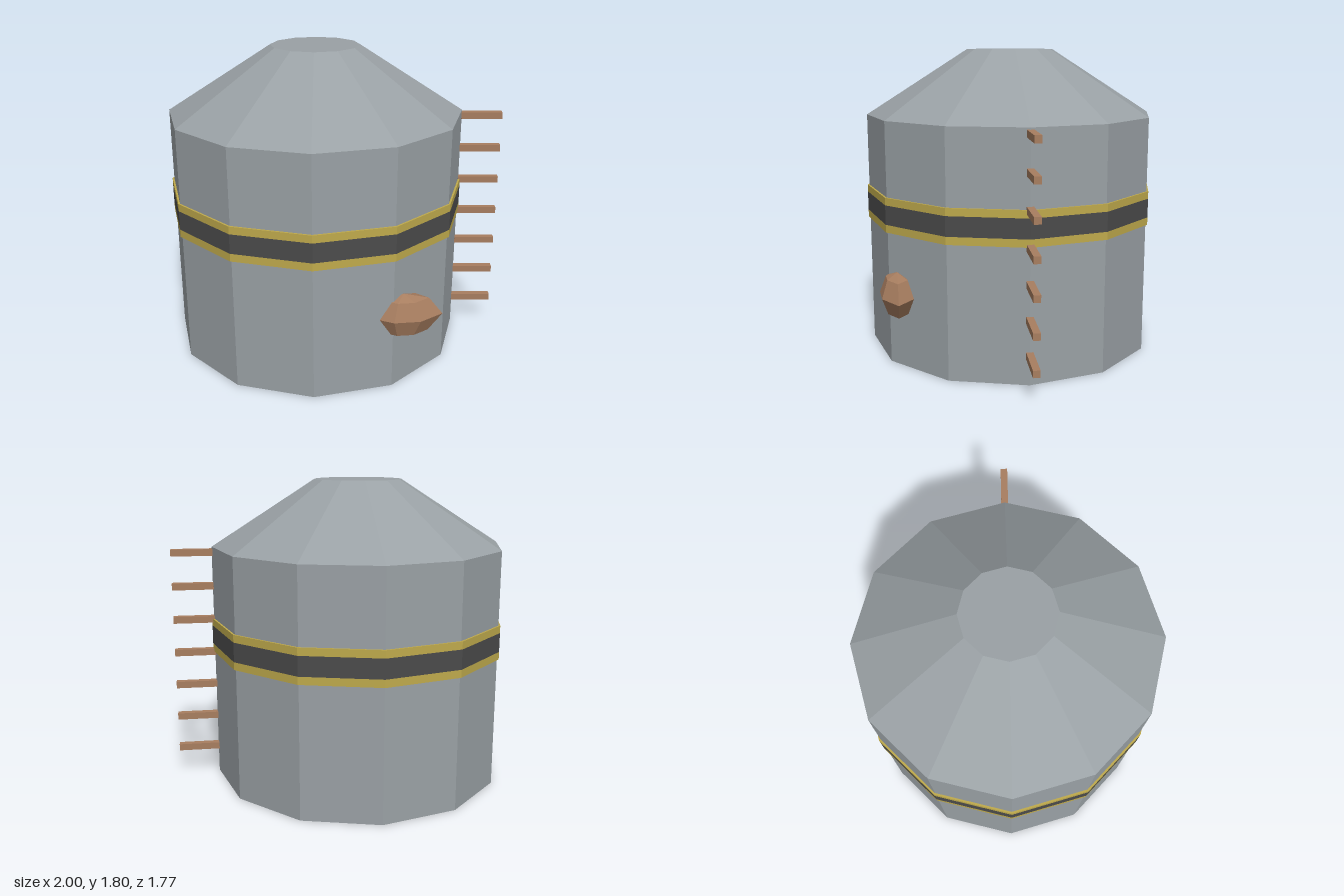
import * as THREE from 'three';

const mat = (name, color) => {
  const m = new THREE.MeshStandardMaterial({ color, flatShading: true });
  m.name = name;
  return m;
};

export function createModel() {
  const steel = mat('steel grey', 0x9aa1a5);
  const yellow = mat('stripe yellow', 0xbfaa4c);
  const dark = mat('band charcoal', 0x4b4b4b);
  const brown = mat('rust brown', 0xa87e60);

  const model = new THREE.Group();
  model.name = 'storageTank';
  const cx = -0.115, radius = 0.875, sides = 12;

  const add = (name, geometry, material, x, y, z) => {
    const mesh = new THREE.Mesh(geometry, material);
    mesh.name = name;
    mesh.position.set(x, y, z);
    model.add(mesh);
    return mesh;
  };
  // Twelve-sided drum standing between two heights
  const drum = (name, rTop, rBottom, y0, y1, material) =>
    add(name, new THREE.CylinderGeometry(rTop, rBottom, y1 - y0, sides), material, cx, (y0 + y1) / 2, 0);

  // Tank wall and tapered roof
  drum('tankBody', radius, radius, 0, 1.415, steel);
  drum('tankRoof', 0.262, radius, 1.415, 1.805, steel);

  // Painted band with a stripe on each edge
  drum('lowerStripe', 0.886, 0.886, 0.78, 0.825, yellow);
  drum('darkBand', 0.886, 0.886, 0.825, 0.938, dark);
  drum('upperStripe', 0.886, 0.886, 0.938, 0.982, yellow);

  // Ladder rungs up the left side
  for (let i = 0; i < 7; i++) {
    add('rung' + (i + 1), new THREE.BoxGeometry(0.245, 0.04, 0.04), brown, 0.8775, 0.17 + i * 0.2022, 0);
  }

  // Faceted knob: one outline scaled into three rings, closed by two poles
  const outline = [[-0.195, 0.05], [-0.075, 0.102], [0.07, 0.085], [0.2, -0.01], [0.09, -0.092], [-0.07, -0.07]];
  const rings = [[0, -0.13], [0.64, -0.1], [1, 0], [0.64, 0.1], [0, 0.128]]
    .map(([s, y]) => outline.map(([x, z]) => [x * s - 0.02 * (1 - s), y, z * s]));
  const pos = [];
  for (let r = 0; r < rings.length - 1; r++) {
    for (let i = 0; i < outline.length; i++) {
      const j = (i + 1) % outline.length;
      const a = rings[r][i], b = rings[r][j], c = rings[r + 1][j], d = rings[r + 1][i];
      if (r > 0) pos.push(...a, ...b, ...d);
      if (r < rings.length - 2) pos.push(...b, ...c, ...d);
    }
  }
  const knob = new THREE.BufferGeometry();
  knob.setAttribute('position', new THREE.Float32BufferAttribute(pos, 3));
  knob.computeVertexNormals();
  add('valveKnob', knob, brown, 0.4, 0.43, 0.71);

  return model;
}
